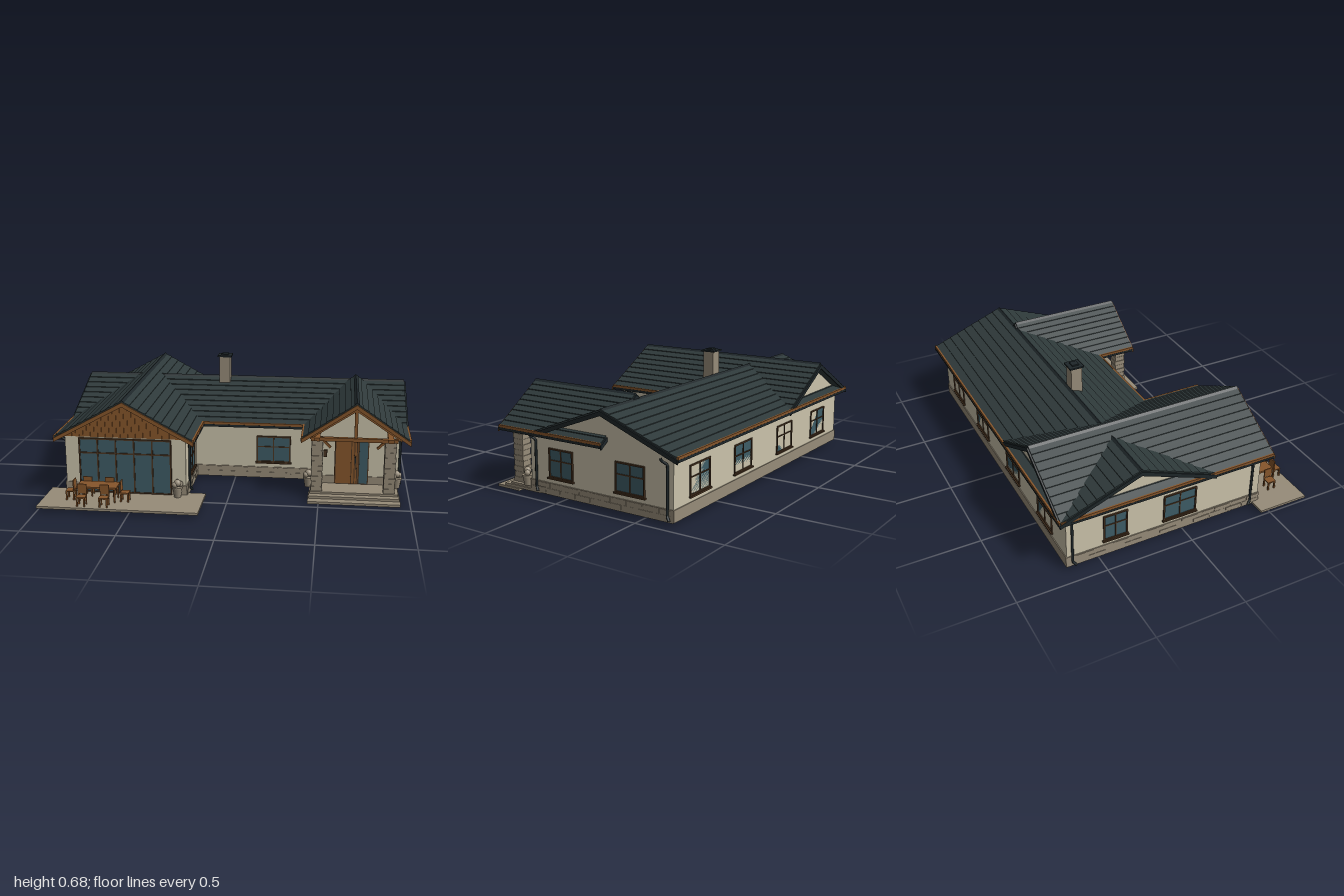
import * as THREE from 'three';

const mat = (name, color, side = THREE.FrontSide) => {
  const m = new THREE.MeshStandardMaterial({ color, side });
  m.name = name;
  return m;
};

export function createModel() {
  const M = {
    wall: mat('cream render', 0xcbc3ab), stone: mat('warm stone', 0x978c79), roof: mat('slate roof', 0x2f3a3b),
    trim: mat('dark metal', 0x1e2629), wood: mat('timber', 0x87562b), frame: mat('dark timber', 0x4a3421), glass: mat('glass', 0x3e5c66),
  };
  const root = new THREE.Group();
  root.name = 'bungalow';

  const group = (name, x = 0, y = 0, z = 0, rot = 0, parent = root) => {
    const g = new THREE.Group();
    g.name = name;
    g.position.set(x, y, z);
    g.rotation.y = rot;
    parent.add(g);
    return g;
  };
  const add = (name, geo, m, parent = root) => {
    const mesh = new THREE.Mesh(geo, m);
    mesh.name = name;
    parent.add(mesh);
    return mesh;
  };
  // box given by its minimum and maximum on each axis
  const box = (name, x0, x1, y0, y1, z0, z1, m, parent = root) => {
    const g = new THREE.BoxGeometry(x1 - x0, y1 - y0, z1 - z0);
    g.translate((x0 + x1) / 2, (y0 + y1) / 2, (z0 + z1) / 2);
    return add(name, g, m, parent);
  };
  const prism = (name, pts, z0, z1, m, parent) => {
    const shape = new THREE.Shape(pts.map(p => new THREE.Vector2(p[0], p[1])));
    const g = new THREE.ExtrudeGeometry(shape, { depth: z1 - z0, bevelEnabled: false });
    g.translate(0, 0, z0);
    return add(name, g, m, parent);
  };

  // House range: gabled walls under a roof with stepped slate courses; ridge on local z
  const EAVE = 0.358, THICK = 0.024, OVER = 0.047;
  function range(name, x, z, rot, half, top, wall, roof, bargeEnds) {
    const g = group(name, x, 0, z, rot);
    const yAt = t => top + (EAVE - top) * t, n = 9;
    const upper = [[0, top]];
    for (let i = 0; i < n; i++) {
      const t = (i + 1) / n;
      upper.push([half * t, yAt(t) + 0.004]);
      upper.push([half * t, yAt(t)]);
    }
    const flip = a => a.map(([px, py]) => [-px, py]).reverse();
    prism(name + 'Roof', [...upper, [half, EAVE - THICK], [0, top - THICK], [-half, EAVE - THICK],
      ...flip(upper).slice(0, -1)], roof[0], roof[1], M.roof, g);
    const w = half - OVER, shoulder = yAt(w / half) - THICK - 0.001;
    prism(name + 'Walls', [[-w, 0.025], [w, 0.025], [w, shoulder], [0, top - THICK - 0.001], [-w, shoulder]],
      wall[0], wall[1], M.wall, g);
    box(name + 'Plinth', -w - 0.005, w + 0.005, 0.022, 0.085, wall[0] - 0.005, wall[1] + 0.005, M.stone, g);
    prism(name + 'RidgeCap', [[-0.014, top - 0.005], [0, top - 0.004], [0.014, top - 0.005], [0, top + 0.006]],
      roof[0], roof[1], M.trim, g);
    for (const end of [0, 1]) {
      const timber = bargeEnds && end === 1;
      const z0 = end ? roof[1] : roof[0] - 0.008;
      prism('bargeBoard', [[half + 0.004, EAVE - 0.008], [0, top - 0.006], [-half - 0.004, EAVE - 0.008],
        [-half - 0.004, EAVE - 0.03], [0, top - 0.03], [half + 0.004, EAVE - 0.03]].reverse(),
        z0, z0 + 0.008, timber ? M.wood : M.trim, g);
    }
    return g;
  }
  range('mainRange', 0, -0.29, Math.PI / 2, 0.443, 0.53, [-0.905, 0.943], [-0.95, 0.985], false);
  range('leftWing', -0.565, 0, 0, 0.385, 0.568, [-0.68, 0.475], [-0.73, 0.52], true);
  range('porchWing', 0.695, 0, 0, 0.293, 0.557, [-0.26, 0.21], [-0.288, 0.385], true);

  // Eaves: timber fascia with a dark gutter under it
  const eaves = (x, z, rot, len) => {
    const g = group('eaves', x, 0, z, rot);
    box('fascia', -len / 2, len / 2, 0.349, 0.364, -0.004, 0.006, M.wood, g);
    box('gutter', -len / 2, len / 2, 0.336, 0.35, -0.006, 0.007, M.trim, g);
  };
  const R = Math.PI / 2;
  eaves(0.11, 0.153, 0, 0.58);
  eaves(0.018, -0.733, Math.PI, 1.935);
  eaves(-0.95, -0.105, -R, 1.25);
  eaves(-0.18, 0.325, R, 0.39);
  eaves(0.402, 0.255, -R, 0.26);
  eaves(0.988, 0.05, R, 0.675);

  // Coursed stones standing slightly proud of the plinth
  const stones = (x, z, rot, len) => {
    const g = group('plinthStones', x, 0, z, rot);
    for (let row = 0; row < 2; row++) {
      const n = Math.round(len / 0.1);
      for (let i = 0; i < n; i++) {
        const a = -len / 2 + len * i / n, shift = row * 0.03;
        box('stone', a + shift + 0.003, Math.min(a + shift + len / n - 0.003, len / 2), 0.029 + row * 0.028,
          0.054 + row * 0.028, 0.004, 0.007 + 0.002 * ((i + row) % 2), M.stone, g);
      }
    }
  };
  stones(0.12, 0.105, 0, 0.64);
  stones(0.02, -0.682, Math.PI, 1.84);
  stones(-0.903, -0.1, -R, 1.14);
  stones(0.942, -0.235, R, 0.88);
  stones(-0.227, 0.29, R, 0.36);

  // Windows: dark frame, glass, cross bars and sill
  function windowAt(x, z, rot, w) {
    const g = group('window', x, 0.195, z, rot), h = 0.15, b = 0.008;
    box('glass', -w / 2, w / 2, -h / 2, h / 2, -0.005, 0.004, M.glass, g);
    for (const s of [-1, 1]) {
      box('jamb', s * w / 2 - b / 2, s * w / 2 + b / 2, -h / 2, h / 2, 0, 0.01, M.frame, g);
      box('rail', -w / 2 - b / 2, w / 2 + b / 2, s * h / 2 - b / 2, s * h / 2 + b / 2, 0, 0.01, M.frame, g);
    }
    box('mullion', -0.003, 0.003, -h / 2, h / 2, 0, 0.008, M.frame, g);
    box('transom', -w / 2, w / 2, 0.012, 0.018, 0, 0.008, M.frame, g);
    box('sill', -w / 2 - 0.01, w / 2 + 0.01, -h / 2 - 0.011, -h / 2 - 0.003, 0, 0.017, M.frame, g);
  }
  windowAt(0.228, 0.106, 0, 0.19);
  for (const x of [0.71, 0.28, -0.2, -0.64]) windowAt(x, -0.682, Math.PI, 0.18);
  windowAt(0.942, 0.003, R, 0.15);
  windowAt(0.942, -0.433, R, 0.17);
  windowAt(-0.227, 0.285, R, 0.15);
  windowAt(-0.903, -0.41, -R, 0.13);
  windowAt(-0.903, -0.03, -R, 0.19);

  // Glazed garden wall
  const glazing = group('glazedWall', -0.565, 0, 0.475);
  box('glazing', -0.255, 0.255, 0.032, 0.342, 0, 0.008, M.glass, glazing);
  for (let i = 0; i <= 5; i++) {
    const x = -0.255 + i * 0.102;
    box('mullion', x - 0.004, x + 0.004, 0.032, 0.342, 0, 0.014, M.frame, glazing);
  }
  for (const y of [0.034, 0.26, 0.341]) box('rail', -0.259, 0.259, y - 0.004, y + 0.004, 0, 0.013, M.frame, glazing);

  // Timber-boarded gable above the glazing
  for (let i = -16; i <= 15; i++) {
    const a = i * 0.021, b = a + 0.019, top = x => 0.541 - Math.abs(x) * 0.545;
    prism('gableBoard', [[a - 0.565, 0.352], [b - 0.565, 0.352], [b - 0.565, top(b)], [a - 0.565, top(a)]],
      0.475, 0.482, M.wood);
  }
  prism('gableBacking', [[-0.912, 0.35], [-0.218, 0.35], [-0.565, 0.541]], 0.474, 0.478, M.wood);

  // Front door with side glass, and wall lamp
  const door = group('frontDoor', 0.678, 0, 0.21);
  box('doorFrame', -0.096, 0.096, 0.04, 0.302, 0, 0.008, M.frame, door);
  box('doorLeaf', -0.088, 0.036, 0.043, 0.295, 0, 0.013, M.wood, door);
  for (const x of [-0.004, 0.014, 0.028]) box('doorGroove', x, x + 0.005, 0.045, 0.293, 0.01, 0.015, M.frame, door);
  box('sideGlass', 0.044, 0.09, 0.045, 0.295, 0, 0.011, M.glass, door);
  box('doorHandle', 0.02, 0.024, 0.13, 0.21, 0.013, 0.02, M.trim, door);
  box('wallLamp', 0.52, 0.54, 0.2, 0.238, 0.21, 0.228, M.frame);

  // Porch floor and steps
  box('lowerStep', 0.44, 0.947, 0, 0.014, 0.3, 0.453, M.stone);
  box('middleStep', 0.445, 0.942, 0.014, 0.028, 0.15, 0.405, M.stone);
  box('porchFloor', 0.45, 0.937, 0.028, 0.04, 0.15, 0.365, M.stone);

  // Porch columns of stacked stone, with beams and braces
  for (const s of [-1, 1]) {
    const x = 0.686 + s * 0.2;
    const c = group('porchColumn', x, 0, 0.324);
    box('core', -0.028, 0.028, 0.03, 0.342, -0.03, 0.03, M.stone, c);
    for (let i = 0; i < 10; i++) {
      const e = i % 2 ? 0.03 : 0.032, y = 0.04 + i * 0.03;
      box('courseStone', -e, e, y + 0.001, y + 0.027, -e - 0.002, e + 0.002, M.stone, c);
    }
    box('porchBeam', x - 0.015, x + 0.015, 0.337, 0.356, 0.2, 0.375, M.wood);
    const brace = box('brace', -0.006, 0.006, -0.032, 0.032, -0.008, 0.008, M.wood);
    brace.position.set(x - s * 0.05, 0.318, 0.345);
    brace.rotation.z = -s * Math.PI / 4;
  }
  // Open truss
  const truss = group('porchTruss', 0.695, 0, 0.355);
  box('tieBeam', -0.245, 0.23, 0.336, 0.356, -0.012, 0.012, M.wood, truss);
  box('kingPost', -0.009, 0.009, 0.35, 0.53, -0.01, 0.01, M.wood, truss);
  for (const s of [-1, 1]) {
    const pts = [[0, 0.508], [s * 0.25, 0.343], [s * 0.25, 0.365], [0, 0.531]];
    prism('rafter', s < 0 ? pts : pts.reverse(), -0.01, 0.01, M.wood, truss);
  }

  // Foundation and patio
  box('wingBase', -0.907, -0.22, 0.018, 0.03, -0.682, 0.477, M.stone);
  box('mainBase', -0.907, 0.945, 0.018, 0.03, -0.682, 0.107, M.stone);
  box('porchBase', 0.448, 0.943, 0.018, 0.03, 0, 0.22, M.stone);
  box('patio', -1, -0.123, 0.018, 0.031, 0.44, 0.735, M.stone);

  // Chimney
  box('chimney', -0.133, -0.067, 0.45, 0.664, -0.288, -0.222, M.stone);
  box('chimneyCap', -0.142, -0.058, 0.664, 0.673, -0.297, -0.213, M.trim);
  box('chimneyCowl', -0.12, -0.08, 0.673, 0.681, -0.275, -0.235, M.trim);

  // Downpipes with bends at head and foot; run along local x, wall behind local z
  const pipe = (x, z, rot, dir) => {
    const g = group('downpipe', x, 0, z, rot);
    const path = new THREE.CatmullRomCurve3([[-0.018, 0.345, 0.04], [-0.016, 0.33, 0.035], [0, 0.305, 0.008], [0, 0.27, 0.008],
      [0, 0.07, 0.008], [0, 0.05, 0.009], [0.016, 0.03, 0.018]].map(p => new THREE.Vector3(p[0] * dir, p[1], p[2])),
      false, 'catmullrom', 0.2);
    add('pipe', new THREE.TubeGeometry(path, 28, 0.007, 8), M.trim, g);
  };
  pipe(-0.227, 0.395, R, 1);
  pipe(0.942, 0.168, R, 1);
  pipe(0.942, -0.655, R, 1);
  pipe(-0.903, 0.42, -R, -1);
  pipe(-0.903, -0.655, -R, 1);

  // Planters with rounded shrubs
  for (const [x, z, y] of [[-0.27, 0.508, 0.031], [0.437, 0.25, 0.028], [0.93, 0.25, 0.04]]) {
    const p = group('planter', x, y, z);
    add('pot', new THREE.CylinderGeometry(0.028, 0.019, 0.056, 14).translate(0, 0.028, 0), M.stone, p);
    add('potRim', new THREE.CylinderGeometry(0.031, 0.031, 0.008, 14).translate(0, 0.054, 0), M.stone, p);
    for (const [a, b, c, r] of [[0, 0.08, 0, 0.021], [-0.014, 0.072, 0.008, 0.017], [0.013, 0.072, -0.01, 0.017]])
      add('shrub', new THREE.SphereGeometry(r, 12, 8).translate(a, b, c), M.stone, p);
  }

  // Garden table and six chairs
  const legs = (w, d, top, g) => {
    for (const sx of [-1, 1]) for (const sz of [-1, 1])
      box('leg', sx * w - 0.004, sx * w + 0.004, 0, top, sz * d - 0.004, sz * d + 0.004, M.wood, g);
  };
  const table = group('gardenTable', -0.69, 0.031, 0.598);
  box('tableTop', -0.11, 0.11, 0.078, 0.088, -0.05, 0.05, M.wood, table);
  legs(0.098, 0.04, 0.08, table);
  const chair = (x, z, rot) => {
    const g = group('gardenChair', x, 0.031, z, rot);
    box('seat', -0.025, 0.025, 0.046, 0.053, -0.024, 0.024, M.wood, g);
    box('chairBack', -0.025, 0.025, 0.06, 0.114, -0.024, -0.018, M.wood, g);
    for (const s of [-1, 1]) box('backPost', s * 0.021 - 0.004, s * 0.021 + 0.004, 0.05, 0.1, -0.024, -0.018, M.wood, g);
    legs(0.02, 0.02, 0.05, g);
  };
  for (const x of [-0.76, -0.637]) {
    chair(x, 0.692, 0);
    chair(x, 0.532, Math.PI);
  }
  chair(-0.843, 0.6, -R);
  chair(-0.542, 0.6, R);

  return root;
}
